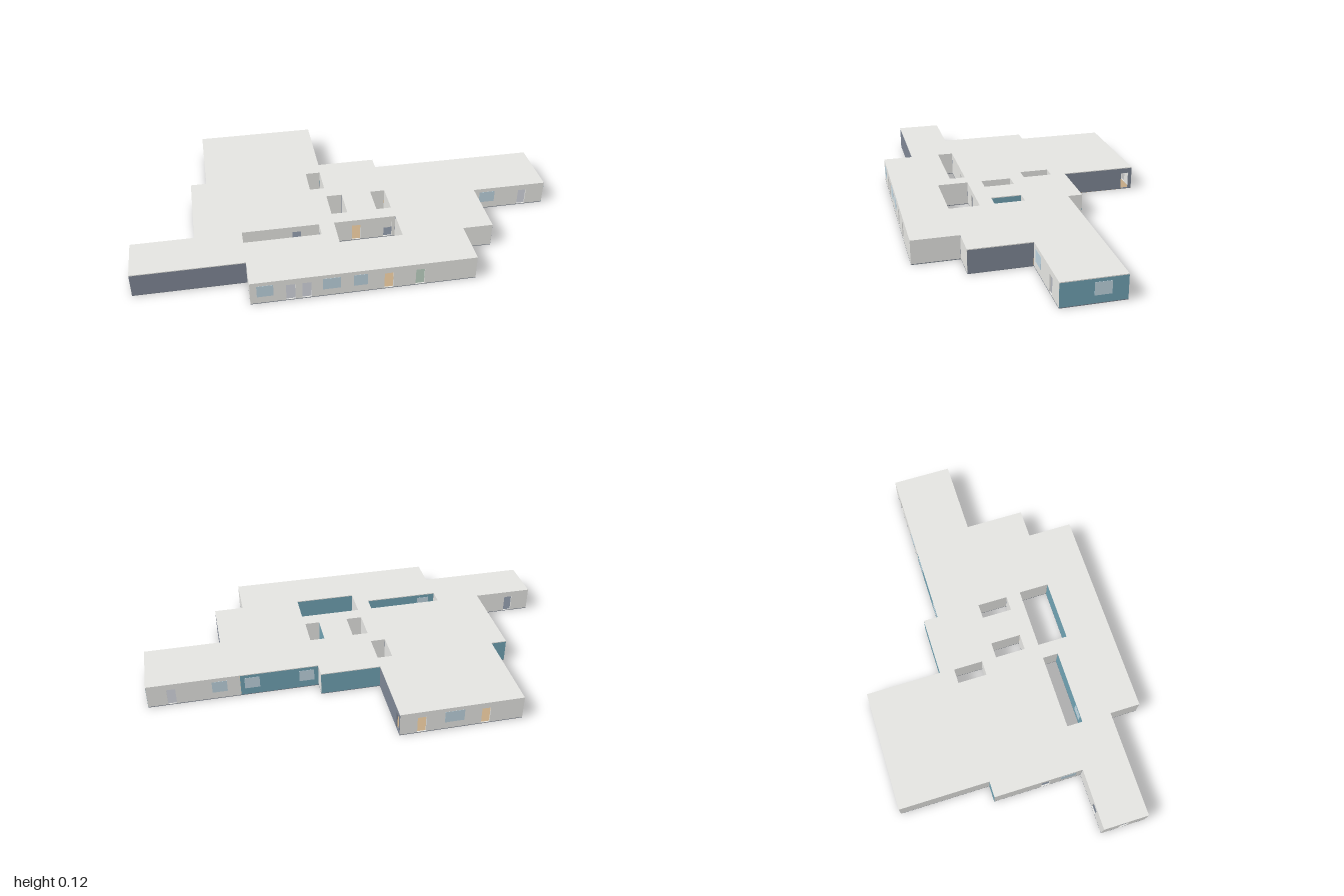
import * as THREE from 'three';

const mat = (name, color) => Object.assign(new THREE.MeshStandardMaterial({ color }), { name });
const light = mat('light grey', 0xe4e4e1);
const slate = mat('slate', 0x7e8694);
const teal = mat('teal', 0x6fa1b2);
const glass = mat('glass', 0xbdd3de);
const tan = mat('tan', 0xc3a884);
const charcoal = mat('charcoal floor', 0x737b88);
const grey = mat('grey floor', 0xa0a2a9);
const green = mat('green floor', 0x90a095);

const H = 0.115, SLAB = 0.004, WALL = 0.006;
const DOOR_W = 0.04, DOOR_TOP = 0.086;

// Outer wall corners [x, z, colour of the wall that starts here]
const outline = [
  [-0.64, -0.61, light], [-0.07, -0.61, slate], [-0.07, -0.25, teal], [0.21, -0.25, light],
  [0.21, -0.18, teal], [0.575, -0.18, light], [1, -0.18, teal], [1, 0.105, light],
  [0.64, 0.105, slate], [0.64, 0.39, light], [0.5, 0.39, light], [0.5, 0.605, light],
  [-0.5, 0.605, light], [-0.5, 0.46, slate], [-1, 0.46, light], [-1, 0.245, light],
  [-0.715, 0.245, light], [-0.715, -0.18, teal], [-0.64, -0.18, light],
];

// Courtyards: x0, x1, z0, z1, then colours of the west, south, east and north walls
const courts = [
  [-0.145, -0.075, -0.18, -0.04, light, light, light, light],
  [-0.075, 0, 0.03, 0.175, light, light, light, light],
  [0.14, 0.21, 0.03, 0.175, teal, light, light, light],
  [-0.5, -0.145, 0.245, 0.32, light, teal, light, light],
  [-0.075, 0.215, 0.245, 0.39, light, teal, light, light],
];
const courtLoop = ([x0, x1, z0, z1, w, s, e, n]) =>
  [[x0, z0, w], [x0, z1, s], [x1, z1, e], [x1, z0, n]];

// Floor patches: x0, x1, z0, z1, colour
const patches = [
  [-0.64, -0.07, -0.61, -0.25, tan], [0.21, 0.64, -0.18, 0.105, tan],
  [0, 0.14, 0.03, 0.245, tan], [-0.15, 0.15, 0.39, 0.605, tan],
  [0.15, 0.5, 0.39, 0.605, green], [-0.5, -0.15, 0.39, 0.605, grey],
  [0.64, 1, -0.18, 0.105, grey],
];

// Windows: x, z, outward normal x and z, width
const windows = [
  [-0.435, 0.605, 0, 1, 0.072], [-0.147, 0.605, 0, 1, 0.077], [-0.02, 0.605, 0, 1, 0.062],
  [0.71, 0.105, 0, 1, 0.077], [1, -0.075, 1, 0, 0.073],
  [0.67, -0.18, 0, -1, 0.07], [0.52, -0.18, 0, -1, 0.07], [0.265, -0.18, 0, -1, 0.07],
  [-0.32, -0.61, 0, -1, 0.09], [-0.715, 0.18, -1, 0, 0.075],
  [-0.44, 0.32, 0, -1, 0.06],
];

// Open doorways: x, z, outward normal x and z
const doors = [
  [-0.325, 0.605, 0, 1], [-0.255, 0.605, 0, 1], [0.105, 0.605, 0, 1], [0.245, 0.605, 0, 1],
  [0.89, 0.105, 0, 1], [0.89, -0.18, 0, -1], [-0.07, -0.573, 1, 0],
  [-0.17, -0.61, 0, -1], [-0.465, -0.61, 0, -1],
  [-0.715, 0.07, -1, 0], [-0.89, 0.245, 0, -1], [-1, 0.35, -1, 0],
  [-0.25, 0.245, 0, 1], [0.03, 0.245, 0, 1], [0.18, 0.245, 0, 1],
];

function box(parent, name, material, w, h, d, x, y, z) {
  const mesh = new THREE.Mesh(new THREE.BoxGeometry(w, h, d), material);
  mesh.name = name;
  mesh.position.set(x, y, z);
  parent.add(mesh);
  return mesh;
}

// Horizontal slab following the outline, pierced by the courtyards
function slab(name, material, top, thickness) {
  const points = loop => loop.map(([x, z]) => new THREE.Vector2(x, z));
  const shape = new THREE.Shape(points(outline));
  courts.forEach(c => shape.holes.push(new THREE.Path(points(courtLoop(c)))));
  const geo = new THREE.ExtrudeGeometry(shape, { depth: thickness, bevelEnabled: false });
  geo.rotateX(Math.PI / 2).translate(0, top, 0);
  const mesh = new THREE.Mesh(geo, material);
  mesh.name = name;
  return mesh;
}

const rect = (x0, x1, y0, y1) =>
  [[x0, y0], [x1, y0], [x1, y1], [x0, y1]].map(p => new THREE.Vector2(...p));

// One thin wall per edge, set just inside the loop, with its doorways cut out
function walls(parent, loop, name) {
  loop.forEach(([x, z, material], i) => {
    const [x2, z2] = loop[(i + 1) % loop.length];
    const dx = x2 - x, dz = z2 - z, len = Math.hypot(dx, dz);
    const nx = dz / len, nz = -dx / len;
    const mx = (x + x2) / 2, mz = (z + z2) / 2, half = len / 2 - 0.0005;
    const shape = new THREE.Shape(rect(-half, half, SLAB, H - SLAB));
    for (const [px, pz, ax, az] of doors) {
      const along = (px - mx) * nz - (pz - mz) * nx;
      const off = (px - mx) * nx + (pz - mz) * nz;
      if (ax * nx + az * nz > 0.9 && Math.abs(off) < 0.002 && Math.abs(along) < half) {
        shape.holes.push(new THREE.Path(
          rect(along - DOOR_W / 2, along + DOOR_W / 2, SLAB + 0.001, DOOR_TOP)));
      }
    }
    const geo = new THREE.ExtrudeGeometry(shape, { depth: WALL, bevelEnabled: false });
    geo.translate(0, 0, -WALL);
    const wall = new THREE.Mesh(geo, material);
    wall.name = name;
    wall.position.set(mx, 0, mz);
    wall.rotation.y = Math.atan2(nx, nz);
    parent.add(wall);
  });
}

export function createModel() {
  const model = new THREE.Group();
  model.name = 'building';

  model.add(slab('roof', light, H, SLAB));
  model.add(slab('floor', charcoal, SLAB, SLAB - 0.001));
  for (const [x0, x1, z0, z1, m] of patches) {
    box(model, 'roomFloor', m, x1 - x0 - 0.002, 0.0045, z1 - z0 - 0.002,
      (x0 + x1) / 2, 0.00225, (z0 + z1) / 2);
  }

  walls(model, outline, 'outerWall');
  courts.forEach(c => walls(model, courtLoop(c), 'courtyardWall'));

  for (const [x, z, nx, nz, w] of windows) {
    const pane = box(model, 'windowPane', glass, w, 0.058, 0.002, x, 0.067, z);
    pane.rotation.y = Math.atan2(nx, nz);
  }

  // Inner walls behind the front rooms
  box(model, 'innerWall', tan, 0.42, H - 2 * SLAB, WALL, -0.287, H / 2, 0.393);
  box(model, 'innerWall', slate, 0.275, H - 2 * SLAB, WALL, 0.357, H / 2, 0.386);

  // Low cabinets standing opposite the doorways
  for (const x of [-0.325, -0.255, 0.105, 0.245]) {
    box(model, 'cabinet', slate, 0.03, 0.035, 0.012, x, 0.0225, 0.404);
  }
  box(model, 'cabinet', slate, 0.012, 0.045, 0.02, -0.62, 0.0265, -0.563);
  box(model, 'cabinet', tan, 0.012, 0.045, 0.016, -0.62, 0.0265, -0.583);
  return model;
}
